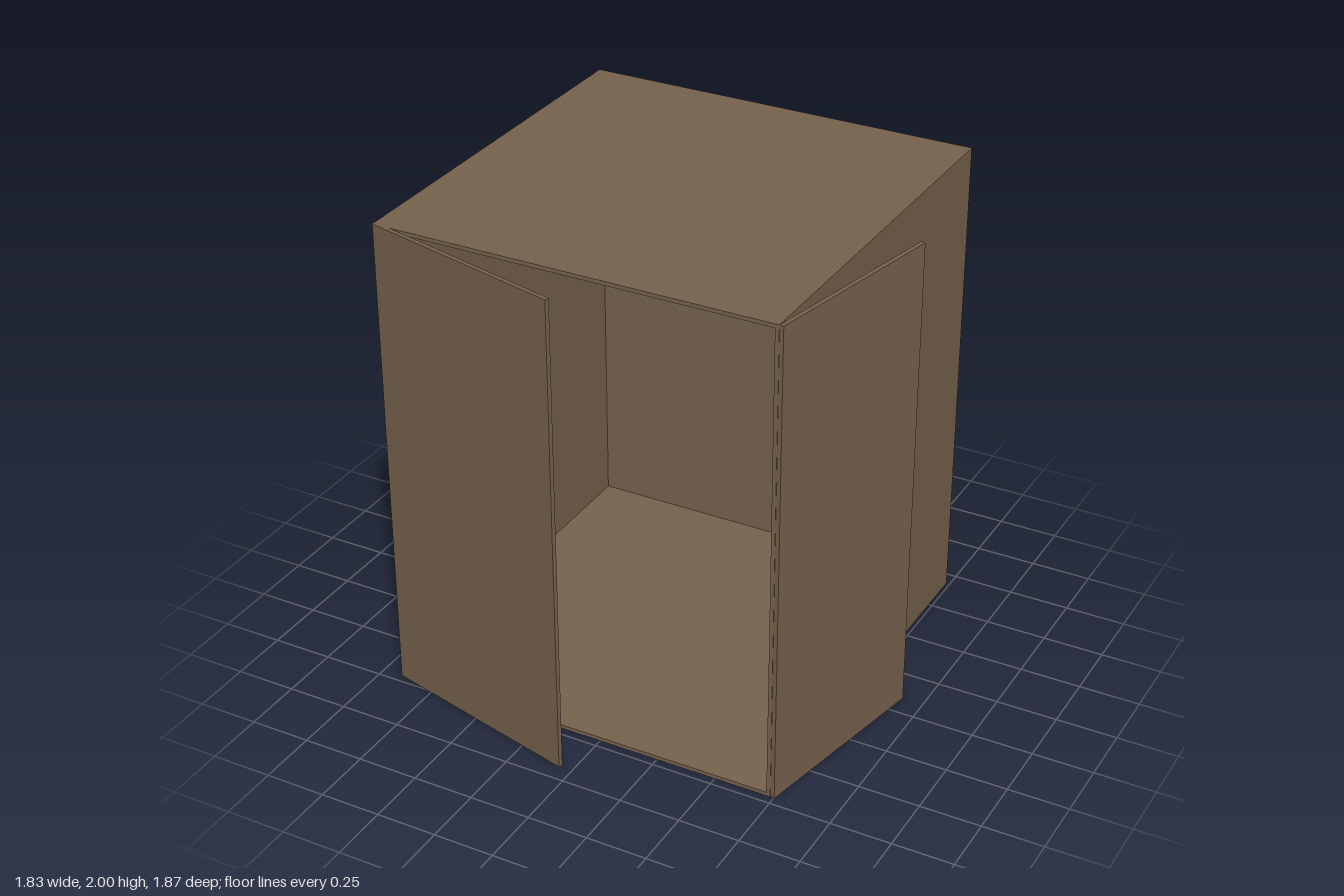
import * as THREE from 'three';

const W = 1.65, H = 2, D = 1.65, T = 0.016; // cabinet size and board thickness
const CX = -0.09, BACK = -0.935, FRONT = BACK + D;

export function createModel() {
  const model = new THREE.Group();
  model.name = 'cabinet';
  const wood = new THREE.MeshStandardMaterial({ color: 0x77624d });
  wood.name = 'brown wood';

  function add(geometry, name, parent = model) {
    const mesh = new THREE.Mesh(geometry, wood);
    mesh.name = name;
    parent.add(mesh);
    return mesh;
  }

  // Sides, top and bottom as one rectangular tube open to the front
  const outline = new THREE.Shape([
    new THREE.Vector2(-W / 2, 0), new THREE.Vector2(W / 2, 0),
    new THREE.Vector2(W / 2, H), new THREE.Vector2(-W / 2, H),
  ]);
  outline.holes.push(new THREE.Path([
    new THREE.Vector2(-W / 2 + T, T), new THREE.Vector2(-W / 2 + T, H - T),
    new THREE.Vector2(W / 2 - T, H - T), new THREE.Vector2(W / 2 - T, T),
  ]));
  const shell = add(new THREE.ExtrudeGeometry(outline, { depth: D, bevelEnabled: false }), 'shell');
  shell.position.set(CX, 0, BACK);

  // Back panel closing the tube
  const back = add(new THREE.BoxGeometry(W - 2 * T, H - 2 * T, T), 'backPanel');
  back.position.set(CX, H / 2, BACK + T / 2);

  // Doors swing about a vertical hinge; side sets which way the board's thickness lies
  function addDoor(name, x, z, length, degrees, side) {
    const hinge = new THREE.Group();
    hinge.name = name;
    hinge.position.set(x, 0, z);
    hinge.rotation.y = THREE.MathUtils.degToRad(degrees);
    const thick = 0.018;
    const board = add(new THREE.BoxGeometry(length, H, thick), name + 'Board', hinge);
    board.position.set(length / 2, H / 2, side * thick / 2);
    model.add(hinge);
  }
  addDoor('rightDoor', CX - W / 2, FRONT, 0.887, -14.2, -1);
  addDoor('leftDoor', CX + W / 2, FRONT - 0.002, 0.827, 78.8, 1);

  return model;
}
